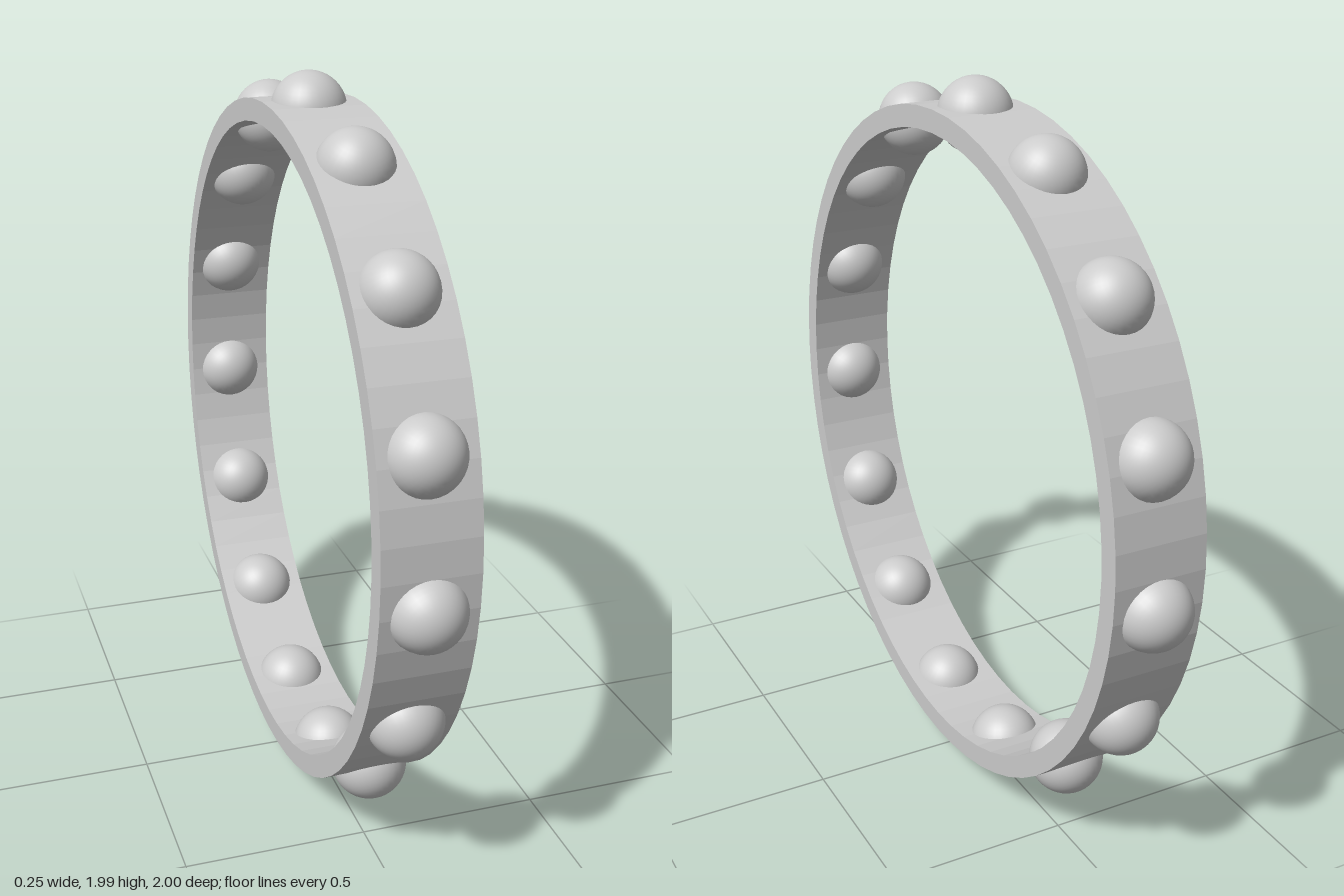
import * as THREE from 'three';

const CENTRE_Y = 0.985;
const BALL_COUNT = 15;
const BALL_RADIUS = 0.1;
const BALL_ORBIT = 0.905;
const OUTER = 0.93;
const INNER = 0.87;
const HALF_WIDTH = 0.125;

export function createModel() {
  const group = new THREE.Group();
  group.name = 'studdedRing';

  // Flat band: a rectangular section turned around the x axis
  const section = [
    [INNER, -HALF_WIDTH], [OUTER, -HALF_WIDTH], [OUTER, HALF_WIDTH],
    [INNER, HALF_WIDTH], [INNER, -HALF_WIDTH],
  ].map(([r, w]) => new THREE.Vector2(r, w));
  const bandGeometry = new THREE.LatheGeometry(section, 64);
  bandGeometry.rotateZ(Math.PI / 2);
  const band = new THREE.Mesh(
    bandGeometry,
    new THREE.MeshStandardMaterial({ color: 0xcccccc, flatShading: true })
  );
  band.name = 'band';
  band.position.y = CENTRE_Y;
  group.add(band);

  // Balls set through the band, evenly spaced from the top
  const ballGeometry = new THREE.SphereGeometry(BALL_RADIUS, 32, 24);
  const ballMaterial = new THREE.MeshStandardMaterial({ color: 0xcccccc });
  const balls = new THREE.Group();
  balls.name = 'balls';
  balls.position.y = CENTRE_Y;
  for (let i = 0; i < BALL_COUNT; i++) {
    const angle = (i / BALL_COUNT) * Math.PI * 2;
    const ball = new THREE.Mesh(ballGeometry, ballMaterial);
    ball.name = `ball${i + 1}`;
    ball.position.set(0, BALL_ORBIT * Math.cos(angle), BALL_ORBIT * Math.sin(angle));
    ball.rotation.x = angle;
    balls.add(ball);
  }
  group.add(balls);

  return group;
}
